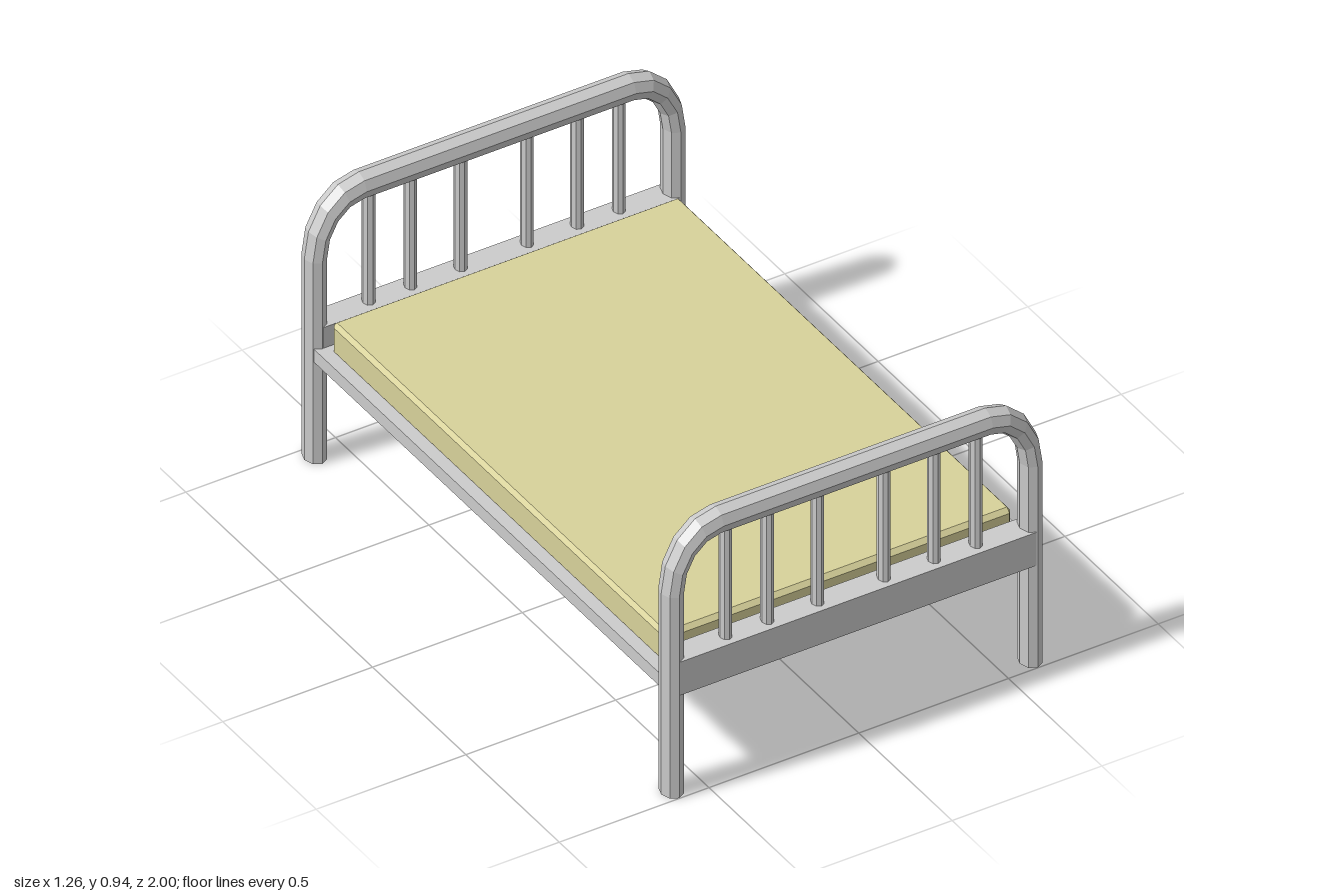
import * as THREE from 'three';
import { ConvexGeometry } from 'three/addons/geometries/ConvexGeometry.js';

const SQUASH = 0.77; // tubes are narrower across the bed than along it
const SIDES = 8;
const TUBE = 0.0435;
const END_Z = 0.9555;

const metal = new THREE.MeshStandardMaterial({ color: 0xcccccc, flatShading: true });
const cloth = new THREE.MeshStandardMaterial({ color: 0xd8d29a, flatShading: true });

function add(parent, name, geometry, material, x = 0, y = 0, z = 0) {
  const mesh = new THREE.Mesh(geometry, material);
  mesh.name = name;
  mesh.position.set(x, y, z);
  parent.add(mesh);
  return mesh;
}

// Octagonal tube: up one leg, round two corners, down the other leg
function archGeometry() {
  const bend = 0.193, cx = 0.45 / SQUASH, cy = 0.70, steps = 4;
  const stations = [{ x: -cx - bend, y: 0, a: Math.PI }];
  for (const side of [-1, 1]) {
    for (let i = 0; i <= steps; i++) {
      const a = (side < 0 ? Math.PI : Math.PI / 2) - (i / steps) * Math.PI / 2;
      stations.push({ x: side * cx + bend * Math.cos(a), y: cy + bend * Math.sin(a), a });
    }
  }
  stations.push({ x: cx + bend, y: 0, a: 0 });

  const positions = [], index = [];
  for (const s of stations) {
    for (let j = 0; j < SIDES; j++) {
      const t = (j / SIDES) * Math.PI * 2, out = TUBE * Math.cos(t);
      positions.push((s.x + out * Math.cos(s.a)) * SQUASH, s.y + out * Math.sin(s.a), TUBE * Math.sin(t));
    }
  }
  for (let i = 0; i < stations.length - 1; i++) {
    for (let j = 0; j < SIDES; j++) {
      const k = (j + 1) % SIDES, a = i * SIDES, b = a + SIDES;
      index.push(a + j, a + k, b + k, a + j, b + k, b + j);
    }
  }
  // Feet caps
  const last = (stations.length - 1) * SIDES;
  for (let j = 1; j < SIDES - 1; j++) {
    index.push(0, j + 1, j, last, last + j, last + j + 1);
  }
  const geometry = new THREE.BufferGeometry();
  geometry.setAttribute('position', new THREE.Float32BufferAttribute(positions, 3));
  geometry.setIndex(index);
  geometry.computeVertexNormals();
  return geometry;
}

// Box with every edge cut at an angle; c holds the cut along each axis
function chamferedBox(w, h, d, c) {
  const half = [w / 2, h / 2, d / 2], points = [];
  for (const sx of [-1, 1]) for (const sy of [-1, 1]) for (const sz of [-1, 1]) {
    for (let axis = 0; axis < 3; axis++) {
      const p = half.map((v, i) => (i === axis ? v : v - c[i]));
      points.push(new THREE.Vector3(p[0] * sx, p[1] * sy, p[2] * sz));
    }
  }
  return new ConvexGeometry(points);
}

// Arch with legs, cross panel and spindles
function bedEnd(name, z) {
  const end = new THREE.Group();
  end.name = name;
  end.position.z = z;
  add(end, 'archedFrame', archGeometry(), metal);
  add(end, 'crossPanel', new THREE.BoxGeometry(1.19, 0.116, 0.085), metal, 0, 0.415, 0);
  const rod = new THREE.CylinderGeometry(0.0235, 0.0235, 0.44, SIDES);
  for (const x of [0.111, 0.278, 0.418]) {
    for (const side of [-1, 1]) {
      add(end, 'spindle', rod, metal, side * x, 0.66, 0).scale.x = SQUASH;
    }
  }
  return end;
}

export function createModel() {
  const bed = new THREE.Group();
  bed.name = 'bed';
  bed.add(bedEnd('footboard', END_Z), bedEnd('headboard', -END_Z));
  add(bed, 'baseFrame', new THREE.BoxGeometry(1.24, 0.045, 1.85), metal, 0, 0.3785, 0);
  add(bed, 'mattress', chamferedBox(1.16, 0.11, 1.79, [0.011, 0.014, 0.014]), cloth, 0, 0.445, 0);
  return bed;
}
